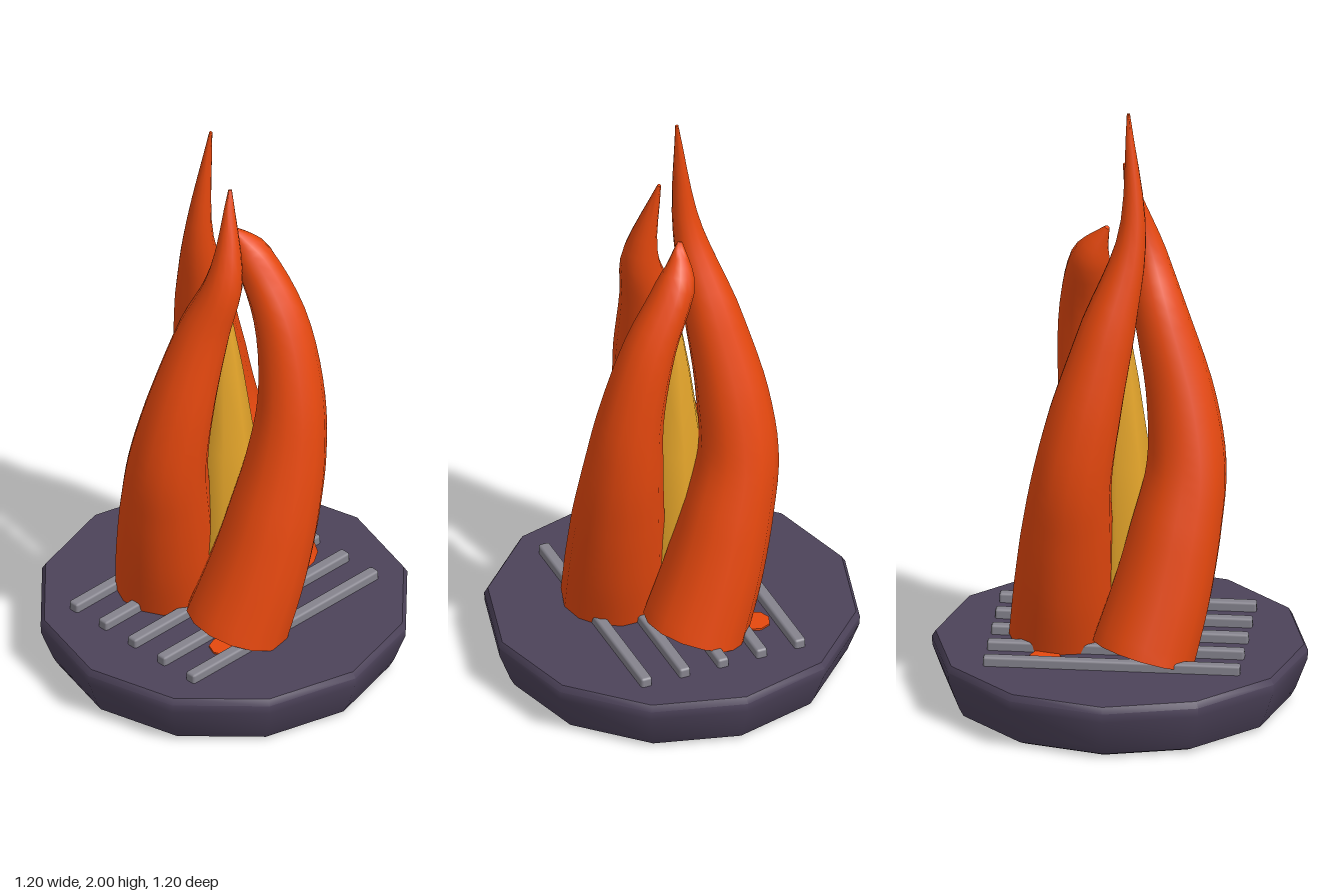
import * as THREE from 'three';
import { toCreasedNormals } from 'three/addons/utils/BufferGeometryUtils.js';
import { RoundedBoxGeometry } from 'three/addons/geometries/RoundedBoxGeometry.js';

const mat = (name, color, side = THREE.FrontSide) => {
  const m = new THREE.MeshStandardMaterial({ color, side });
  m.name = name;
  return m;
};

// Tapered tongue swept along a spiral; rows are [height, distance from axis, angle, thickness]
function tongue(rows, turn, sides = 14, steps = 32) {
  const path = new THREE.CatmullRomCurve3(rows.map(([y, d, a]) => {
    const q = THREE.MathUtils.degToRad(a + turn);
    return new THREE.Vector3(d * Math.cos(q), y, d * Math.sin(q));
  }));
  const pos = [], idx = [];
  const p = new THREE.Vector3(), u = new THREE.Vector3(), v = new THREE.Vector3();
  for (let i = 0; i <= steps; i++) {
    const t = i / steps, f = t * (rows.length - 1);
    const k = Math.min(Math.floor(f), rows.length - 2);
    const r = THREE.MathUtils.lerp(rows[k][3], rows[k + 1][3], f - k);
    path.getPoint(t, p);
    const dir = path.getTangent(t);
    u.set(0, 0, 1).addScaledVector(dir, -dir.z).normalize();
    v.crossVectors(dir, u);
    for (let j = 0; j < sides; j++) {
      const a = (j / sides) * Math.PI * 2;
      const c = Math.cos(a) * r, s = Math.sin(a) * r;
      pos.push(p.x + u.x * c + v.x * s, p.y + u.y * c + v.y * s, p.z + u.z * c + v.z * s);
      if (i < steps) {
        const n = (j + 1) % sides, b = i * sides;
        idx.push(b + j, b + n, b + sides + j, b + n, b + sides + n, b + sides + j);
      }
    }
  }
  // Close the foot and the tip
  for (let j = 1; j < sides - 1; j++) {
    const b = steps * sides;
    idx.push(0, j + 1, j, b, b + j, b + j + 1);
  }
  const g = new THREE.BufferGeometry();
  g.setAttribute('position', new THREE.Float32BufferAttribute(pos, 3));
  g.setIndex(idx);
  return toCreasedNormals(g, 0.9);
}

export function createModel() {
  const group = new THREE.Group();
  const add = (name, geometry, material, x = 0, y = 0, z = 0) => {
    const m = new THREE.Mesh(geometry, material);
    m.name = name;
    m.position.set(x, y, z);
    group.add(m);
    return m;
  };
  const stone = mat('dark stone', 0x4d435a);
  const metal = mat('grey metal', 0x85838d);
  const orange = mat('flame orange', 0xe6480e);
  const gold = mat('core gold', 0xe3a42a);

  // Twelve-sided bowl base
  const profile = [[0, 0], [0.52, 0], [0.545, 0.012], [0.56, 0.04], [0.598, 0.14],
    [0.6, 0.17], [0.588, 0.19], [0, 0.19]].map(([r, y]) => new THREE.Vector2(r, y));
  add('base', toCreasedNormals(new THREE.LatheGeometry(profile, 12), 0.6), stone);

  // Grate bars
  for (let i = -2; i <= 2; i++) {
    add('grateBar', new RoundedBoxGeometry(0.82, 0.038, 0.038, 1, 0.008), metal, 0, 0.202, i * 0.133);
  }

  // Inner core
  const core = [[0.1, 0.19], [0.12, 0.5], [0.1, 0.8], [0.06, 1.08], [0.03, 1.25], [0, 1.36]]
    .map(([r, y]) => new THREE.Vector2(r, y));
  add('innerFlame', new THREE.LatheGeometry(core, 8), gold);

  // Three outer tongues share a lower spiral and end at different heights
  const lower = [[0.205, 0.185, 121, 0.17], [0.4, 0.185, 99, 0.16], [0.6, 0.2, 82, 0.147], [0.8, 0.218, 69, 0.129]];
  const upper = [
    ['shortFlame', 0, [[1.02, 0.222, 60, 0.107], [1.28, 0.178, 47, 0.085], [1.49, 0.098, 15, 0.062], [1.6, 0.041, -14, 0.008]]],
    ['middleFlame', 120, [[1.02, 0.195, 60, 0.111], [1.3, 0.13, 44, 0.085], [1.5, 0.108, 13, 0.06], [1.8, 0.041, -14, 0.006]]],
    ['tallFlame', -120, [[1.02, 0.19, 60, 0.116], [1.3, 0.126, 42, 0.09], [1.6, 0.083, -3, 0.045], [2, 0.042, -15, 0.005]]],
  ];
  for (const [name, turn, rows] of upper) add(name, tongue([...lower, ...rows], turn), orange);

  // Glowing patches below the grate
  for (const [x, z] of [[-0.2, 0.21], [0.22, -0.19]]) {
    add('ember', new THREE.CylinderGeometry(0.05, 0.05, 0.008, 8), orange, x, 0.192, z);
  }
  return group;
}
